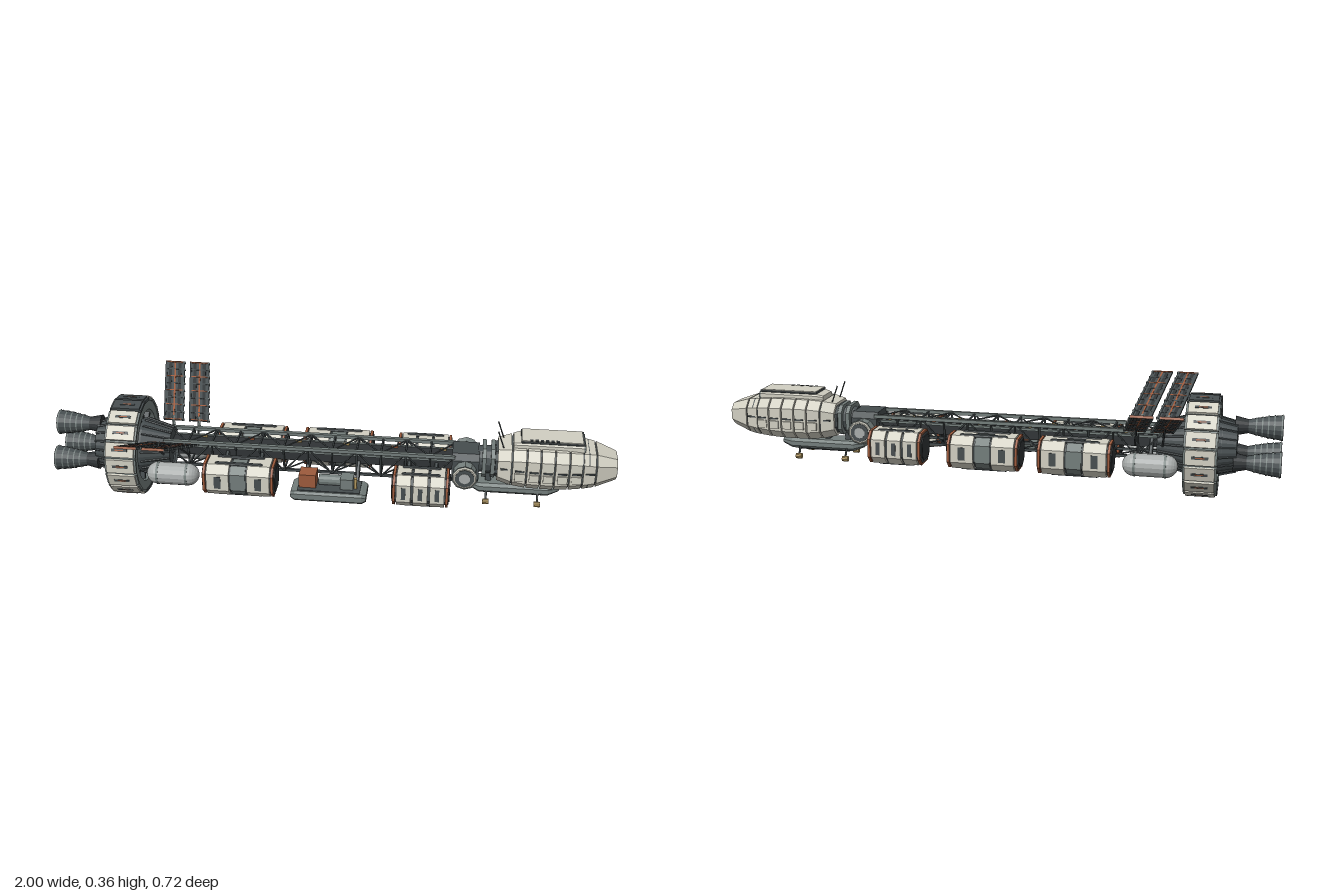
import * as THREE from 'three';

const mat = (name, color) => {
  const m = new THREE.MeshStandardMaterial({ color, flatShading: true, side: THREE.DoubleSide });
  m.name = name;
  return m;
};

export function createModel() {
  const root = new THREE.Group();
  root.name = 'cargoSpaceship';
  const hull = mat('hullBeige', 0xd1cfc2), steel = mat('greenGrey', 0x737d7b), dark = mat('darkGrey', 0x464d4f);
  const black = mat('nearBlack', 0x303436), rust = mat('rustOrange', 0x9c5a3c), tan = mat('tan', 0xb39860);
  const silver = mat('lightGrey', 0xa8acab);

  const add = (parent, name, geo, m, x = 0, y = 0, z = 0) => {
    const mesh = new THREE.Mesh(geo, m);
    mesh.name = name;
    mesh.position.set(x, y, z);
    parent.add(mesh);
    return mesh;
  };
  const group = (name) => {
    const g = new THREE.Group();
    g.name = name;
    root.add(g);
    return g;
  };
  const box = (p, name, m, x, y, z, w, h, d) => add(p, name, new THREE.BoxGeometry(w, h, d), m, x, y, z);
  // Cylinder along x, from x0 (radius r0) to x1 (radius r1)
  const tubeX = (p, name, m, x0, x1, r0, r1, y, z, n = 16, open = false) =>
    add(p, name, new THREE.CylinderGeometry(r1, r0, x1 - x0, n, 1, open).rotateZ(-Math.PI / 2), m, (x0 + x1) / 2, y, z);
  // Thin rod between two points
  const rod = (p, name, m, a, b, r = 0.003) => {
    const A = new THREE.Vector3(...a), B = new THREE.Vector3(...b), d = B.clone().sub(A);
    const mesh = add(p, name, new THREE.CylinderGeometry(r, r, d.length(), 5), m);
    mesh.position.copy(A.add(B).multiplyScalar(0.5));
    mesh.quaternion.setFromUnitVectors(new THREE.Vector3(0, 1, 0), d.normalize());
    return mesh;
  };
  // Octagonal loft along x; each section is [x, yCentre, halfHeight, halfDepth, chamfer, zCentre]
  const loft = (p, name, m, sections) => {
    const rings = sections.map(([x, y, hy, hz, c, z = 0]) =>
      [[-hz, c - hy], [-hz, hy - c], [c - hz, hy], [hz - c, hy], [hz, hy - c], [hz, c - hy], [hz - c, -hy], [c - hz, -hy]]
        .map(([dz, dy]) => [x, y + dy, z + dz]));
    const v = [], tri = (...t) => t.forEach((q) => v.push(...q));
    for (let k = 0; k < rings.length - 1; k++) for (let i = 0; i < 8; i++) {
      const a = rings[k], b = rings[k + 1], j = (i + 1) % 8;
      tri(a[i], a[j], b[j]);
      tri(a[i], b[j], b[i]);
    }
    const s = rings[0], e = rings[rings.length - 1];
    for (let i = 1; i < 7; i++) { tri(s[0], s[i + 1], s[i]); tri(e[0], e[i], e[i + 1]); }
    const g = new THREE.BufferGeometry();
    g.setAttribute('position', new THREE.Float32BufferAttribute(v, 3));
    g.computeVertexNormals();
    return add(p, name, g, m);
  };
  const prism = (p, name, m, x0, x1, y, hy, hz, c, z = 0) =>
    loft(p, name, m, [[x0, y, hy, hz, c, z], [x1, y, hy, hz, c, z]]);

  // Engines: three ribbed bells on a stepped block
  const CY = 0.182, engines = group('engines');
  for (let i = 0; i < 3; i++) {
    const a = i * Math.PI * 2 / 3, y = CY + 0.075 * Math.cos(a), z = 0.075 * Math.sin(a);
    const pts = [[0.026, 0], [0.022, 0.025], [0.03, 0.06], [0.038, 0.1], [0.044, 0.15]].map((q) => new THREE.Vector2(...q));
    add(engines, 'engineBell', new THREE.LatheGeometry(pts, 16).rotateZ(Math.PI / 2), dark, -0.85, y, z);
    for (const [x, r] of [[-0.91, 0.031], [-0.93, 0.035], [-0.95, 0.039], [-0.97, 0.0415], [-0.995, 0.0445]])
      tubeX(engines, 'bellRib', steel, x - 0.002, x + 0.002, r + 0.0015, r + 0.0005, y, z, 16, true);
    tubeX(engines, 'bellThroat', black, -0.885, -0.84, 0.024, 0.034, y, z);
  }
  tubeX(engines, 'engineBlock', dark, -0.85, -0.79, 0.085, 0.1, CY, 0, 18);
  tubeX(engines, 'engineHub', dark, -0.8, -0.68, 0.098, 0.1, CY, 0, 18);
  tubeX(engines, 'hubCone', dark, -0.68, -0.58, 0.1, 0.07, CY, 0, 18);
  for (let i = 0; i < 18; i++) {
    const a = i * Math.PI / 9, c = Math.cos(a), s = Math.sin(a);
    rod(engines, 'coneRib', dark, [-0.68, CY + 0.101 * c, 0.101 * s], [-0.58, CY + 0.071 * c, 0.071 * s], 0.004);
    rod(engines, 'blockRib', dark, [-0.85, CY + 0.086 * c, 0.086 * s], [-0.79, CY + 0.101 * c, 0.101 * s], 0.004);
  }

  // Habitat ring: grey body, chamfered skins that are beige on the flanks, spokes
  const ring = group('ring');
  const annulus = new THREE.Shape().absarc(0, 0, 0.167, 0, Math.PI * 2);
  annulus.holes.push(new THREE.Path().absarc(0, 0, 0.13, 0, Math.PI * 2));
  add(ring, 'ringBody', new THREE.ExtrudeGeometry(annulus, { depth: 0.108, bevelEnabled: false, curveSegments: 36 })
    .rotateY(Math.PI / 2), steel, -0.787, CY, 0);
  for (let i = 0; i < 18; i++) {
    const a = (i + 0.5) * Math.PI / 9, sector = new THREE.Group();
    sector.name = 'ringSector';
    sector.position.set(0, CY, 0);
    sector.rotation.x = a;
    ring.add(sector);
    const flank = Math.abs(Math.cos(a)) < 0.9;
    box(sector, 'ringBlock', flank ? steel : dark, -0.733, 0.167, 0, 0.114, 0.01, 0.052);
    box(sector, 'ringSkin', flank ? hull : dark, -0.733, 0.174, 0, 0.1, 0.008, 0.052);
    box(sector, 'skinWindow', dark, -0.733, 0.1783, 0, 0.056, 0.002, 0.01);
    box(sector, 'skinStripe', rust, -0.733, 0.1793, 0, 0.03, 0.001, 0.004);
    if (i % 3 !== 1) box(sector, 'spoke', dark, -0.725, 0.115, 0, 0.07, 0.044, 0.013);
  }

  // Spine: dark core, chords and open lattice
  const spine = group('spine'), X0 = -0.6, X1 = 0.44, BAYS = 12, YT = 0.232, YB = 0.138, ZC = 0.056;
  box(spine, 'spineCore', black, -0.08, 0.194, 0, 1.04, 0.044, 0.066);
  for (const z of [-ZC, ZC]) {
    box(spine, 'topChord', steel, -0.08, YT, z, 1.04, 0.012, 0.014);
    box(spine, 'bottomChord', dark, -0.08, YB, z * 0.8, 1.04, 0.009, 0.009);
    box(spine, 'conduit', steel, -0.08, 0.212, z * 0.75, 1.04, 0.008, 0.01);
  }
  for (let i = 0; i <= BAYS; i++) {
    const x = X0 + (X1 - X0) * i / BAYS, n = x + (X1 - X0) / BAYS;
    rod(spine, 'crossBar', dark, [x, YT, -ZC], [x, YT, ZC], 0.004);
    rod(spine, 'crossBar', dark, [x, YB, -ZC * 0.8], [x, YB, ZC * 0.8], 0.004);
    for (const s of [-1, 1]) rod(spine, 'upright', dark, [x, YT, s * ZC], [x, YB, s * ZC * 0.8], 0.004);
    if (i === BAYS) continue;
    const f = i % 2 ? -1 : 1;
    for (const s of [-1, 1])
      rod(spine, 'diagonal', dark, [x, f > 0 ? YT : YB, s * 0.052], [n, f > 0 ? YB : YT, s * 0.052]);
    rod(spine, 'topBrace', dark, [x, YT, -ZC * f], [n, YT, ZC * f]);
    rod(spine, 'bottomBrace', dark, [x, YB, -0.045 * f], [n, YB, 0.045 * f]);
    box(spine, 'spineFitting', i % 3 ? tan : rust, (x + n) / 2, 0.219, f * 0.024, 0.022, 0.006, 0.008);
  }

  // Swept solar panels, two on each side
  const panels = group('solarPanels');
  for (const s of [-1, 1]) for (const x of [-0.6, -0.505]) {
    const Z = new THREE.Vector3(-0.05 * s, 0.115 * s, 0.265);
    const basis = new THREE.Matrix4().makeBasis(new THREE.Vector3(1, 0, 0), new THREE.Vector3(0, 0.917, -0.398 * s), Z);
    const part = (name, m, dx, dz, w, h, d) =>
      add(panels, name, new THREE.BoxGeometry(w, h, d).translate(dx, 0, dz).applyMatrix4(basis), m, x - 0.025, 0.3, s * 0.226);
    part('solarPanel', dark, 0, 0, 0.07, 0.004, 1);
    for (const dx of [-0.034, 0.034]) part('panelEdge', dark, dx, 0, 0.007, 0.008, 1);
    for (const dx of [-0.018, 0.018]) part('panelSpar', black, dx, 0, 0.012, 0.006, 1);
    part('panelCentre', rust, 0, 0, 0.006, 0.006, 1);
    for (let i = 0; i <= 8; i++) {
      part('panelBar', i % 2 ? dark : rust, 0, -0.49 + i * 0.1225, 0.062, 0.0068, 0.014);
      part('panelClamp', steel, 0.037, -0.49 + i * 0.1225, 0.006, 0.009, 0.02);
    }
    part('panelTip', rust, 0, 0.497 * s, 0.075, 0.009, 0.01);
    rod(panels, 'panelArm', steel, [x + 0.01, 0.22, s * 0.06], [x - 0.005, 0.25, s * 0.11], 0.006);
    rod(panels, 'panelStrut', dark, [x, 0.185, s * 0.07], [x - 0.015, 0.28, s * 0.18], 0.004);
  }

  // Fuel tanks
  const tanks = group('fuelTanks');
  for (const s of [-1, 1]) {
    add(tanks, 'tank', new THREE.CapsuleGeometry(0.04, 0.11, 6, 16).rotateZ(Math.PI / 2), silver, -0.562, 0.125, s * 0.1);
    for (const x of [-0.615, -0.51]) tubeX(tanks, 'tankBand', steel, x - 0.004, x + 0.004, 0.0412, 0.0412, 0.125, s * 0.1);
    rod(tanks, 'tankStrut', dark, [-0.56, 0.15, s * 0.08], [-0.56, 0.2, s * 0.03], 0.008);
  }

  // Cargo containers with rust end rims
  const container = (x0, x1, s) => {
    const g = group('cargoContainer'), z = s * 0.1275, y = 0.149, w = x1 - x0, xm = (x0 + x1) / 2;
    prism(g, 'containerCore', dark, x0 - 0.002, x1 + 0.002, y, 0.051, 0.055, 0.023, z);
    prism(g, 'endPlate', black, x0 - 0.005, x1 + 0.005, y, 0.042, 0.046, 0.02, z);
    for (const x of [x0, x1 - 0.009]) prism(g, 'endRim', rust, x, x + 0.009, y, 0.058, 0.062, 0.026, z);
    const long = w > 0.22, n = long ? 2 : 3, len = long ? 0.08 : 0.05, step = (w - 0.026 - len) / (n - 1);
    if (long) prism(g, 'middleBand', steel, xm - 0.026, xm + 0.026, y, 0.055, 0.058, 0.024, z);
    for (let i = 0; i < n; i++) {
      const a = x0 + 0.013 + i * step, c = a + len / 2;
      prism(g, 'containerShell', hull, a, a + len, y, 0.059, 0.0625, 0.027, z);
      for (const e of [-1, 1]) box(g, 'sidePanel', dark, c, y, z + e * 0.0625, len * 0.3, 0.046, 0.003);
    }
    for (const e of [-1, 1]) for (const h of [-1, 1])
      add(g, 'gripRail', new THREE.CapsuleGeometry(0.008, w * 0.62, 3, 8).rotateZ(Math.PI / 2), dark, xm, y + h * 0.057, z + e * 0.025);
    for (const x of [x0 + w * 0.25, x1 - w * 0.25]) rod(g, 'cargoMount', dark, [x, 0.19, s * 0.03], [x, 0.17, s * 0.08], 0.008);
  };
  for (const s of [-1, 1]) {
    container(-0.435, -0.185, s);
    container(0.232, 0.424, s);
  }
  container(-0.115, 0.135, -1);

  // Open equipment platform
  const deck = group('equipmentPlatform');
  loft(deck, 'platformBase', steel, [[-0.125, 0.112, 0.012, 0.05, 0.008, 0.132], [-0.11, 0.112, 0.018, 0.057, 0.008, 0.132],
    [0.125, 0.112, 0.018, 0.057, 0.008, 0.132], [0.14, 0.112, 0.012, 0.05, 0.008, 0.132]]);
  box(deck, 'platformFloor', dark, 0.008, 0.131, 0.132, 0.22, 0.004, 0.09);
  box(deck, 'crate', rust, -0.068, 0.157, 0.127, 0.06, 0.05, 0.06);
  tubeX(deck, 'machineDrum', steel, -0.03, 0.05, 0.019, 0.019, 0.152, 0.125, 12);
  box(deck, 'machineBody', steel, 0.07, 0.152, 0.13, 0.045, 0.04, 0.055);
  box(deck, 'machinePost', tan, 0.1, 0.152, 0.14, 0.01, 0.04, 0.014);
  for (const x of [-0.08, 0.1]) rod(deck, 'platformMount', dark, [x, 0.18, 0.03], [x, 0.12, 0.085], 0.008);

  // Docking node and neck
  const neck = group('dockingNeck');
  prism(neck, 'dockingNode', dark, 0.43, 0.525, 0.19, 0.054, 0.066, 0.02);
  for (const s of [-1, 1]) {
    const port = (name, m, r0, r1, d, z) =>
      add(neck, name, new THREE.CylinderGeometry(s > 0 ? r1 : r0, s > 0 ? r0 : r1, d, 10).rotateX(Math.PI / 2), m, 0.477, 0.183, s * z);
    port('portTube', steel, 0.042, 0.036, 0.04, 0.08);
    port('portFlare', steel, 0.036, 0.046, 0.014, 0.105);
    port('portRim', hull, 0.042, 0.038, 0.004, 0.114);
    port('portHatch', dark, 0.034, 0.034, 0.003, 0.117);
    port('portCentre', silver, 0.02, 0.02, 0.002, 0.119);
  }
  tubeX(neck, 'neckTube', dark, 0.52, 0.6, 0.046, 0.052, 0.205, 0, 12);
  for (const x of [0.535, 0.565]) prism(neck, 'neckCollar', steel, x, x + 0.014, 0.207, 0.055, 0.062, 0.024);

  // Command section: dark core with segmented shell, tapering to a flat nose
  const head = group('commandSection'), HY = 0.209;
  loft(head, 'headCore', dark, [[0.58, HY, 0.048, 0.066, 0.025], [0.64, HY, 0.064, 0.088, 0.028],
    [0.9, HY, 0.066, 0.088, 0.028], [0.95, HY, 0.05, 0.07, 0.028]]);
  const cuts = [[0.588, 0.06, 0.08], [0.64, 0.069, 0.094], [0.69, 0.073, 0.1], [0.738, 0.073, 0.102],
    [0.786, 0.073, 0.102], [0.836, 0.071, 0.099], [0.882, 0.068, 0.093], [0.928, 0.063, 0.085]];
  for (let i = 0; i < cuts.length - 1; i++) {
    const [a, ha, za] = cuts[i], [b, hb, zb] = cuts[i + 1], xm = (a + b) / 2;
    loft(head, 'hullSegment', hull, [[a, HY, ha, za, 0.03], [b - 0.005, HY, hb, zb, 0.03]]);
    for (const s of [-1, 1]) {
      const z = s * ((za + zb) / 2 + 0.001);
      box(head, 'sideSlot', dark, xm, HY + 0.004, z, 0.032, 0.005, 0.006);
      if (i > 0 && i < 6) box(head, 'sidePlate', hull, xm, HY - 0.018, z, 0.034, 0.028, 0.01);
    }
  }
  loft(head, 'noseCone', hull, [[0.928, HY, 0.062, 0.084, 0.03], [0.996, HY, 0.04, 0.056, 0.021], [1, HY, 0.037, 0.053, 0.02]]);
  // Roof deck: beige with a dark front face and a dark-edged top slab
  loft(head, 'roofDeck', hull, [[0.64, 0.283, 0.01, 0.046, 0.005], [0.665, 0.285, 0.014, 0.054, 0.006],
    [0.88, 0.285, 0.014, 0.054, 0.006]]);
  prism(head, 'roofFront', steel, 0.88, 0.886, 0.285, 0.014, 0.054, 0.006);
  prism(head, 'roofSlab', dark, 0.665, 0.882, 0.302, 0.004, 0.05, 0.002);
  box(head, 'roofPlate', hull, 0.772, 0.307, 0, 0.21, 0.003, 0.094);
  for (let i = 0; i < 6; i++)
    box(head, 'roofVent', black, 0.7 + i * 0.018, 0.307, 0.043, 0.011, 0.005, 0.014);
  for (const z of [-0.04, 0.04]) rod(head, 'antenna', dark, [0.61, 0.262, z], [0.585, 0.333, z], 0.0025);

  // Belly pod with landing probes
  const pod = group('bellyPod');
  loft(pod, 'podHull', steel, [[0.495, 0.112, 0.01, 0.026, 0.006], [0.53, 0.108, 0.018, 0.046, 0.01],
    [0.77, 0.108, 0.018, 0.046, 0.01], [0.81, 0.112, 0.01, 0.026, 0.006]]);
  prism(pod, 'podKeel', dark, 0.55, 0.75, 0.09, 0.006, 0.03, 0.004);
  for (const x of [0.56, 0.64, 0.74]) box(pod, 'podMount', dark, x, 0.135, 0, 0.02, 0.04, 0.03);
  for (const x of [0.555, 0.735]) for (const s of [-1, 1]) {
    rod(pod, 'probeArm', dark, [x, 0.105, s * 0.04], [x, 0.072, s * 0.06], 0.004);
    tubeX(pod, 'probeTip', tan, x - 0.011, x + 0.011, 0.01, 0.01, 0.066, s * 0.061, 10);
  }
  return root;
}
